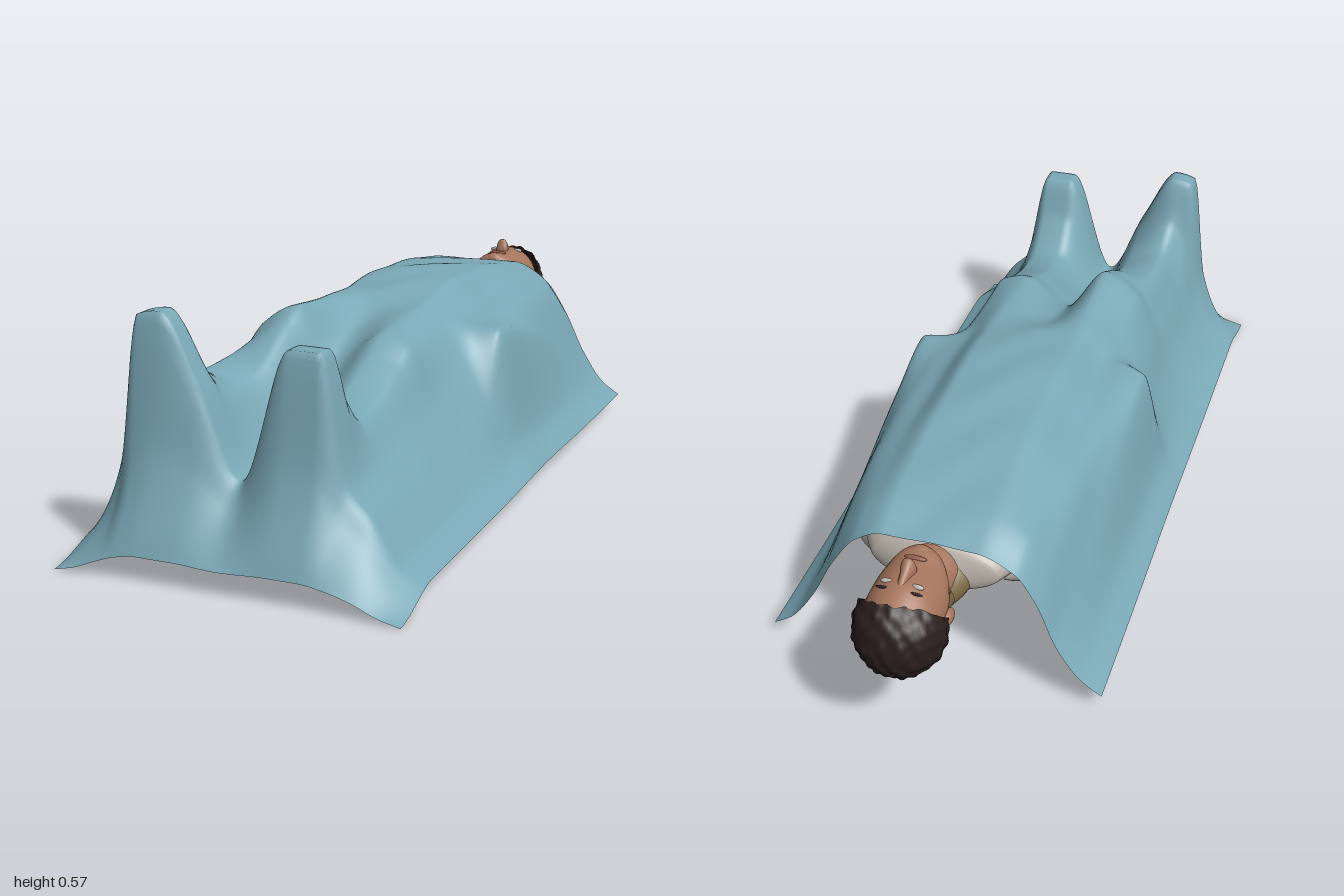
import * as THREE from 'three';

const mat = (name, color, side = THREE.FrontSide) =>
  Object.assign(new THREE.MeshStandardMaterial({ color, side }), { name });

// Monotone cubic interpolation: smooth without overshoot
function curve(xs, ys, x) {
  const n = xs.length;
  const d = (i) => (ys[i + 1] - ys[i]) / (xs[i + 1] - xs[i]);
  const m = (i) => {
    if (i === 0) return d(0);
    if (i === n - 1) return d(n - 2);
    const a = d(i - 1), b = d(i);
    return a * b <= 0 ? 0 : (2 * a * b) / (a + b);
  };
  let k = 0;
  while (k < n - 2 && x > xs[k + 1]) k++;
  const h = xs[k + 1] - xs[k], t = (x - xs[k]) / h, t2 = t * t, t3 = t2 * t;
  return (2 * t3 - 3 * t2 + 1) * ys[k] + (t3 - 2 * t2 + t) * h * m(k)
    + (3 * t2 - 2 * t3) * ys[k + 1] + (t3 - t2) * h * m(k + 1);
}

function surface(pos, idx) {
  const g = new THREE.BufferGeometry();
  g.setAttribute('position', new THREE.Float32BufferAttribute(pos, 3));
  g.setIndex(idx);
  g.computeVertexNormals();
  return g;
}

// Smooth body along z through elliptical stations [z, x, y, radiusX, radiusY]
function loft(stations, rings = 28, sides = 28) {
  const col = (k) => stations.map((s) => s[k]);
  const zs = col(0), pos = [], idx = [];
  const per = Math.ceil(rings / (stations.length - 1));
  const steps = (stations.length - 1) * per;
  for (let i = 0; i <= steps; i++) {
    const k = Math.min(Math.floor(i / per), stations.length - 2);
    const z = THREE.MathUtils.lerp(zs[k], zs[k + 1], i / per - k);
    const [x, y, rx, ry] = [1, 2, 3, 4].map((c) => curve(zs, col(c), z));
    for (let j = 0; j < sides; j++) {
      const a = (j / sides) * Math.PI * 2;
      pos.push(x + rx * Math.cos(a), y + ry * Math.sin(a), z);
      if (i === steps) continue;
      const p = i * sides + j, q = i * sides + (j + 1) % sides;
      idx.push(p, q, p + sides, q, q + sides, p + sides);
    }
  }
  return surface(pos, idx);
}

// Height of the draped sheet: columns across x, one row per z station
const COLS = [-0.41, -0.36, -0.3, -0.252, -0.2, -0.11, -0.01, 0.11, 0.18, 0.24, 0.3, 0.36, 0.41];
const ROW_Z = [-0.7, -0.6, -0.35, -0.1, 0.08, 0.19, 0.38, 0.46, 0.68, 0.77, 0.825, 0.87, 0.915, 1];
const feetRow = [0.09, 0.24, 0.56, 0.57, 0.42, 0.215, 0.515, 0.514, 0.235, 0.165, 0.075];
const ROWS = [
  [0.075, 0.16, 0.28, 0.36, 0.4, 0.4, 0.4, 0.365, 0.28, 0.16, 0.075],
  [0.085, 0.2, 0.33, 0.4, 0.435, 0.435, 0.435, 0.405, 0.34, 0.2, 0.085],
  [0.1, 0.28, 0.385, 0.42, 0.472, 0.475, 0.472, 0.43, 0.395, 0.28, 0.1],
  [0.115, 0.36, 0.4, 0.42, 0.485, 0.493, 0.485, 0.43, 0.405, 0.36, 0.11],
  [0.125, 0.395, 0.41, 0.415, 0.475, 0.475, 0.47, 0.425, 0.408, 0.4, 0.125],
  [0.1, 0.25, 0.35, 0.41, 0.475, 0.44, 0.455, 0.415, 0.34, 0.24, 0.095],
  [0.09, 0.19, 0.33, 0.44, 0.49, 0.37, 0.44, 0.42, 0.28, 0.17, 0.08],
  [0.085, 0.18, 0.31, 0.41, 0.455, 0.33, 0.4, 0.38, 0.26, 0.165, 0.075],
  [0.085, 0.18, 0.31, 0.395, 0.365, 0.24, 0.335, 0.325, 0.235, 0.165, 0.075],
  [0.085, 0.19, 0.38, 0.45, 0.385, 0.22, 0.41, 0.405, 0.235, 0.165, 0.075],
  feetRow,
  feetRow,
  [0.068, 0.14, 0.25, 0.28, 0.24, 0.16, 0.27, 0.26, 0.17, 0.12, 0.058],
  [0.012, 0.036, 0.052, 0.06, 0.06, 0.055, 0.06, 0.06, 0.052, 0.036, 0.012],
];

function sheetGeometry(nx = 110, nz = 210) {
  const pos = [], idx = [];
  const columns = COLS.map((_, c) => ROWS.map((r) => r[c - 1]));
  for (let i = 0; i <= nz; i++) {
    const z = -0.7 + (1.7 * i) / nz;
    const hem = (0.04 + 0.008 * Math.exp(-((z / 0.25) ** 2))) * (1 - THREE.MathUtils.smoothstep(z, 0.82, 1));
    const row = COLS.map((_, c) => (c === 0 || c === COLS.length - 1 ? hem : curve(ROW_Z, columns[c], z)));
    for (let j = 0; j <= nx; j++) {
      const x = -0.41 + (0.82 * j) / nx;
      // Faint soft folds, fading out at the hems
      const fade = Math.max(0, 1 - (x / 0.41) ** 2) * THREE.MathUtils.smoothstep(0.8 - z, 0, 0.3);
      const fold = 0.002 * fade * Math.sin(24 * z + 9 * x + 2 * Math.sin(14 * x));
      pos.push(x, curve(COLS, row, x) + fold, z);
      if (i === nz || j === nx) continue;
      const a = i * (nx + 1) + j, b = a + nx + 1;
      idx.push(a, b, a + 1, a + 1, b, b + 1);
    }
  }
  return surface(pos, idx);
}

// Tousled cap of hair, open over the face and throat
function hairGeometry() {
  const g = new THREE.SphereGeometry(1, 64, 40, 0, Math.PI * 2, 0, 1.95);
  g.rotateX(-2.409);
  const p = g.attributes.position, v = new THREE.Vector3();
  for (let i = 0; i < p.count; i++) {
    v.fromBufferAttribute(p, i);
    const tuft = Math.sin(17 * v.x + 5 * v.y) * Math.sin(15 * v.z + 4 * v.x) * Math.sin(13 * v.y + 2);
    v.multiplyScalar(1 + 0.045 * tuft);
    // Ragged fringe, lower on one side of the forehead
    if (v.y > 0.5) v.z += (v.y - 0.5) * (0.45 * Math.max(0, -v.x) + 0.12 * Math.sin(19 * v.x));
    p.setXYZ(i, v.x, v.y, v.z);
  }
  g.scale(0.105, 0.115, 0.105).translate(0, 0.315, -0.885);
  g.computeVertexNormals();
  return g;
}

export function createModel() {
  const sheet = mat('sheet blue', 0x7aa8b6, THREE.DoubleSide);
  const skin = mat('skin', 0xa5755c);
  const lip = mat('lips', 0x8f5c4c);
  const hair = mat('dark hair', 0x2b1e1f, THREE.DoubleSide);
  const shirt = mat('shirt', 0xb8b1a8);
  const khaki = mat('khaki', 0x7c6a45, THREE.DoubleSide);
  const boot = mat('boot tan', 0xa0855a);
  const eye = mat('eye', 0xb9b4ae);

  const model = new THREE.Group();
  const add = (name, geo, material, parent = model) => {
    const m = new THREE.Mesh(geo, material);
    m.name = name;
    parent.add(m);
    return m;
  };
  const blob = (name, material, parent, [x, y, z], [rx, ry, rz]) => {
    const m = add(name, new THREE.SphereGeometry(1, 20, 14), material, parent);
    m.position.set(x, y, z);
    m.scale.set(rx, ry, rz);
  };

  add('blanket', sheetGeometry(), sheet);

  // Head and face
  const head = new THREE.Group();
  head.name = 'head';
  model.add(head);
  add('face', loft([[-0.976, 0, 0.33, 0.001, 0.001], [-0.955, 0, 0.33, 0.055, 0.055],
    [-0.92, 0, 0.325, 0.078, 0.085], [-0.87, 0, 0.33, 0.088, 0.097], [-0.82, 0, 0.335, 0.087, 0.09],
    [-0.78, 0, 0.35, 0.077, 0.074], [-0.745, 0, 0.378, 0.055, 0.048], [-0.728, 0, 0.385, 0.034, 0.032],
    [-0.718, 0, 0.385, 0.001, 0.001]], 40, 36), skin, head);
  add('hair', hairGeometry(), hair, head);
  add('nose', loft([[-0.878, 0, 0.416, 0.008, 0.008], [-0.845, 0, 0.424, 0.012, 0.019],
    [-0.82, 0, 0.428, 0.018, 0.031], [-0.81, 0, 0.422, 0.015, 0.02], [-0.804, 0, 0.418, 0.001, 0.001]], 20, 16), skin, head);
  blob('mouth', lip, head, [0, 0.423, -0.778], [0.026, 0.006, 0.007]);
  blob('chin', skin, head, [0, 0.408, -0.745], [0.028, 0.021, 0.02]);
  for (const s of [-1, 1]) {
    blob('eye', eye, head, [s * 0.034, 0.418, -0.86], [0.016, 0.007, 0.006]);
    blob('eyebrow', hair, head, [s * 0.036, 0.417, -0.88], [0.018, 0.004, 0.003]);
    blob('ear', skin, head, [s * 0.089, 0.315, -0.825], [0.012, 0.018, 0.026]);
  }

  // Neck, collar and torso
  add('neck', loft([[-0.83, 0, 0.315, 0.06, 0.06], [-0.74, 0, 0.312, 0.062, 0.06],
    [-0.69, 0, 0.315, 0.07, 0.06], [-0.64, 0, 0.315, 0.075, 0.06]], 12), skin);
  add('collar', loft([[-0.735, 0, 0.282, 0.07, 0.052], [-0.7, 0, 0.29, 0.088, 0.06],
    [-0.64, 0, 0.315, 0.11, 0.075]], 12), khaki);
  add('shirt', loft([[-0.698, 0, 0.3, 0.07, 0.04], [-0.67, 0, 0.315, 0.155, 0.062],
    [-0.57, 0, 0.33, 0.2, 0.085], [-0.35, 0, 0.345, 0.175, 0.1], [-0.15, 0, 0.35, 0.15, 0.1],
    [0.01, 0, 0.35, 0.155, 0.09]], 36, 36), shirt);
  add('shortsSeat', loft([[-0.02, 0, 0.35, 0.158, 0.094], [0.06, 0, 0.35, 0.162, 0.085],
    [0.14, 0, 0.35, 0.15, 0.065], [0.18, 0, 0.35, 0.1, 0.03], [0.19, 0, 0.35, 0.001, 0.001]]), khaki);

  // Arms and hands, mirrored
  for (const s of [-1, 1]) {
    const arm = new THREE.Group();
    arm.name = s > 0 ? 'leftArm' : 'rightArm';
    model.add(arm);
    add('sleeve', loft([[-0.64, s * 0.15, 0.29, 0.01, 0.01], [-0.59, s * 0.172, 0.29, 0.045, 0.045],
      [-0.48, s * 0.195, 0.295, 0.046, 0.05], [-0.36, s * 0.212, 0.3, 0.046, 0.05]]), shirt, arm);
    add('forearm', loft([[-0.4, s * 0.21, 0.3, 0.037, 0.041], [-0.2, s * 0.235, 0.305, 0.035, 0.038],
      [-0.06, s * 0.258, 0.325, 0.024, 0.026], [0.0, s * 0.262, 0.33, 0.024, 0.038],
      [0.06, s * 0.265, 0.325, 0.023, 0.042], [0.11, s * 0.262, 0.315, 0.016, 0.028],
      [0.13, s * 0.26, 0.305, 0.001, 0.001]]), skin, arm);
  }

  // Legs: [name, hip, knee and ankle x, knee, ankle and toe y, foot material]
  for (const [name, hx, kx, ax, ky, ay, toe, footMat] of [
    ['rightLeg', -0.082, -0.12, -0.19, 0.365, 0.31, 0.54, skin],
    ['leftLeg', 0.082, 0.11, 0.14, 0.335, 0.265, 0.485, boot]]) {
    const leg = new THREE.Group();
    leg.name = name;
    model.add(leg);
    add('shortsLeg', loft([[0.06, hx, 0.35, 0.078, 0.08], [0.22, (hx + kx) / 2, 0.345, 0.074, 0.075],
      [0.38, kx, ky, 0.065, 0.066]]), khaki, leg);
    add('shin', loft([[0.33, kx, ky, 0.05, 0.052], [0.44, kx * 0.9 + ax * 0.1, ky - 0.015, 0.047, 0.048],
      [0.55, kx * 0.6 + ax * 0.4, (ky + ay) / 2 - 0.01, 0.044, 0.045],
      [0.7, kx * 0.2 + ax * 0.8, ay - 0.005, 0.032, 0.034], [0.83, ax, ay - 0.01, 0.03, 0.032]]), skin, leg);
    add('heel', loft([[0.77, ax, ay - 0.01, 0.032, 0.035], [0.845, ax, ay - 0.015, 0.037, 0.045]], 6), footMat, leg);
    const sole = ay - 0.055;
    blob('foot', footMat, leg, [ax, (toe + sole) / 2, 0.845], [0.035, (toe - sole) / 2, 0.028]);
  }

  return model;
}
